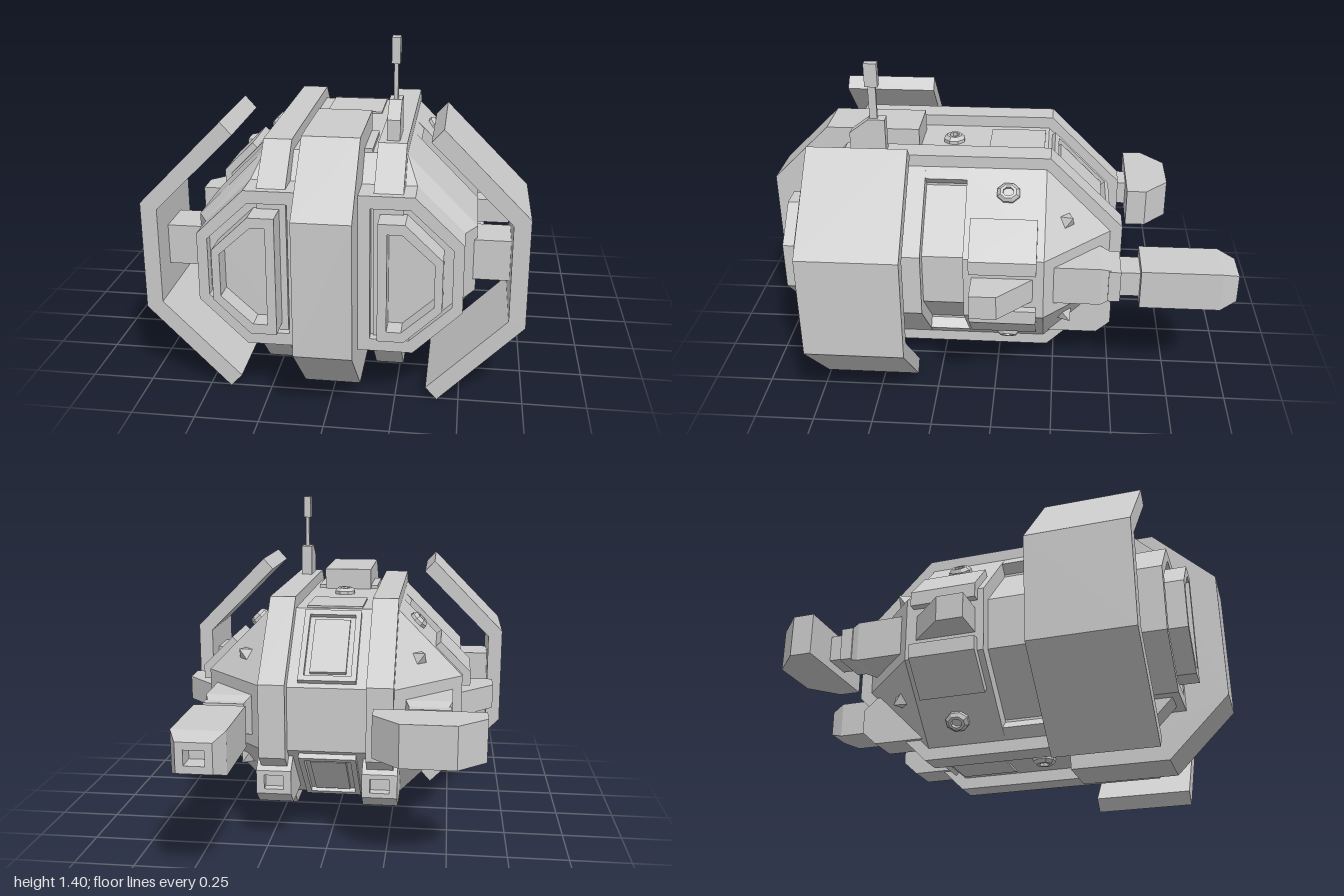
import * as THREE from 'three';

const C = 0.555; // height of the horizontal symmetry plane

export function createModel() {
  const group = new THREE.Group();
  const mat = new THREE.MeshStandardMaterial({ color: 0xcccccc, flatShading: true });

  // Mirror copy across x = 0 or y = C, with the winding turned back outward
  function mirrored(geo, axis) {
    const g = geo.clone(), p = g.attributes.position;
    for (let i = 0; i < p.count; i++) {
      if (axis === 'x') p.setX(i, -p.getX(i)); else p.setY(i, 2 * C - p.getY(i));
    }
    for (let i = 0; i < p.count; i += 3) {
      const b = new THREE.Vector3().fromBufferAttribute(p, i + 1);
      const c = new THREE.Vector3().fromBufferAttribute(p, i + 2);
      p.setXYZ(i + 1, c.x, c.y, c.z);
      p.setXYZ(i + 2, b.x, b.y, b.z);
    }
    return g;
  }
  function add(name, geo, axes = '') {
    let list = [geo.index ? geo.toNonIndexed() : geo];
    for (const a of axes) list = list.concat(list.map(g => mirrored(g, a)));
    for (const g of list) {
      g.computeVertexNormals();
      const m = new THREE.Mesh(g, mat);
      m.name = name;
      group.add(m);
    }
  }

  // Skin through cross-sections [z, points], listed from back to front, capped at both ends
  function loft(sections) {
    const v = [];
    const put = (s, i) => v.push(s[1][i][0], s[1][i][1], s[0]);
    const n = sections[0][1].length;
    for (let k = 0; k + 1 < sections.length; k++) {
      const a = sections[k], b = sections[k + 1];
      for (let i = 0; i < n; i++) {
        const j = (i + 1) % n;
        put(a, i); put(a, j); put(b, j);
        put(a, i); put(b, j); put(b, i);
      }
    }
    const first = sections[0], last = sections[sections.length - 1];
    for (let i = 1; i + 1 < n; i++) {
      put(first, 0); put(first, i + 1); put(first, i);
      put(last, 0); put(last, i); put(last, i + 1);
    }
    const g = new THREE.BufferGeometry();
    g.setAttribute('position', new THREE.Float32BufferAttribute(v, 3));
    return g;
  }
  const rect = (x0, x1, y0, y1) => [[x0, y0], [x1, y0], [x1, y1], [x0, y1]];
  const octagon = (w, xc, h, s) => [[xc, C - h], [w, C - s], [w, C + s], [xc, C + h],
    [-xc, C + h], [-w, C + s], [-w, C - s], [-xc, C - h]];
  const halfOctagon = (x0, x1, xc, h, s) => [[x0, C - h], [xc, C - h], [x1, C - s],
    [x1, C + s], [xc, C + h], [x0, C + h]];

  // Extruded outlines: front (x,y), side (z,y) and plan (x,z)
  function prism(pts, depth, hole) {
    const s = new THREE.Shape(pts.map(p => new THREE.Vector2(...p)));
    if (hole) s.holes.push(new THREE.Path(hole.map(p => new THREE.Vector2(...p))));
    return new THREE.ExtrudeGeometry(s, { depth, bevelEnabled: false }).translate(0, 0, -depth / 2);
  }
  const front = (pts, z0, z1) => prism(pts, z1 - z0).translate(0, 0, (z0 + z1) / 2);
  const side = (pts, x0, x1) => prism(pts, x1 - x0).rotateY(-Math.PI / 2).translate((x0 + x1) / 2, 0, 0);
  const plan = (pts, y0, y1) => prism(pts, y1 - y0).rotateX(Math.PI / 2).translate(0, (y0 + y1) / 2, 0);
  const box = (x0, x1, y0, y1, z0, z1) => new THREE.BoxGeometry(x1 - x0, y1 - y0, z1 - z0)
    .translate((x0 + x1) / 2, (y0 + y1) / 2, (z0 + z1) / 2);
  // Turn a part whose up is +y toward a direction, then place it
  const aim = (geo, dir, pos) => geo.applyQuaternion(new THREE.Quaternion().setFromUnitVectors(
    new THREE.Vector3(0, 1, 0), new THREE.Vector3(...dir).normalize())).translate(...pos);

  // Hull: tapered tail, waist with grooves, chamfered front
  const full = octagon(0.55, 0.275, 0.415, 0.135);
  add('rearHull', loft([[-0.48, octagon(0.275, 0.275, 0.135, 0.135)], [-0.205, full], [0.125, full]]));
  add('frontHull', loft([[0.3, full], [0.62, full], [0.7, octagon(0.505, 0.32, 0.315, 0.135)]]));
  const quarter = [[0.495, 0.11], [0.27, 0.335], [0.31, 0.375], [0.275, 0.415]];
  const flipped = [...quarter].reverse();
  add('hullGroove', front([
    ...quarter.map(([x, y]) => [x, C + y]), ...flipped.map(([x, y]) => [-x, C + y]),
    ...quarter.map(([x, y]) => [-x, C - y]), ...flipped.map(([x, y]) => [x, C - y])], 0.125, 0.3));

  // Rails that wrap the hull lengthwise
  add('hullRail', side([[0.8, 0.24], [0.8, 0.87], [0.65, 1.02], [-0.22, 1.02], [-0.53, 0.71],
    [-0.53, 0.4], [-0.22, 0.09], [0.65, 0.09]], 0.165, 0.275), 'x');

  // Central keel block and its collar
  add('keel', side([[0.35, 0.045], [0.75, 0.045], [1, 0.29], [1, 0.82], [0.75, 1.065], [0.35, 1.065]], -0.11, 0.11));
  add('keelCollar', box(-0.142, 0.142, 0.125, 0.985, 0.37, 0.62));

  // Engines: front plate, sunken ring, raised nozzle and its hollow
  const plate = halfOctagon(0.09, 0.505, 0.32, 0.315, 0.135);
  const ring = halfOctagon(0.155, 0.465, 0.305, 0.265, 0.115);
  const rim = halfOctagon(0.19, 0.43, 0.29, 0.235, 0.1);
  const hollow = halfOctagon(0.225, 0.4, 0.28, 0.195, 0.085);
  add('engine', loft([[0.66, plate], [0.83, plate], [0.83, ring], [0.79, ring], [0.79, rim],
    [0.9, rim], [0.9, hollow], [0.82, hollow]]), 'x');

  // Curved side shields on struts
  add('sideShield', front([[0.745, 0.335], [0.745, 0.775], [0.415, 1.11], [0.37, 1.06], [0.68, 0.75],
    [0.68, 0.36], [0.37, 0.05], [0.415, 0]], 0.35, 0.76), 'x');
  add('shieldStrut', box(0.53, 0.7, 0.475, 0.64, 0.47, 0.64), 'x');

  // Armour plates over the hull corners, with a fin between
  add('armourPlate', front([[0.53, 0.64], [0.585, 0.64], [0.585, 0.7], [0.455, 0.83], [0.42, 0.795], [0.53, 0.69]],
    -0.175, 0.1), 'xy');
  add('sideFin', plan([[0.53, 0.09], [0.69, 0.09], [0.69, -0.02], [0.545, -0.165], [0.53, -0.165]], 0.5, 0.605), 'x');

  // Eight-sided sensors on the corners, top and underside
  const sensor = () => new THREE.LatheGeometry([[0.048, -0.01], [0.048, 0.014], [0.034, 0.028], [0.022, 0.028],
    [0.022, 0.012], [0, 0.012]].map(p => new THREE.Vector2(...p)), 8).rotateY(Math.PI / 8);
  add('cornerSensor', aim(sensor().scale(0.9, 1, 1.05), [1, 1, 0], [0.35, 0.893, -0.05]), 'xy');
  add('deckSensor', sensor().translate(0, 0.97, 0.21), 'y');

  // Small pyramids on the tail facets
  const stud = new THREE.ConeGeometry(0.042, 0.05, 4).translate(0, 0.02, 0);
  add('tailStud', aim(stud, [1, 1, -1], [0.367, 0.783, -0.293]), 'xy');

  // Deck panel and framed window on the sloping tail
  add('deckPanel', box(-0.12, 0.12, 0.95, 0.978, -0.19, 0.05), 'y');
  const frame = prism(rect(-0.12, 0.12, -0.175, 0.175), 0.03, rect(-0.097, 0.097, -0.15, 0.15)).rotateX(-Math.PI / 2);
  add('windowFrame', aim(frame, [0, 1, -1], [0, 0.835, -0.347]), 'y');
  const pane = new THREE.BoxGeometry(0.15, 0.016, 0.26);
  add('windowPane', aim(pane, [0, 1, -1], [0, 0.835, -0.347]), 'y');

  // Arm mounts and stepped necks
  const mount = rect(0.32, 0.51, 0.47, 0.64);
  add('armMount', loft([[-0.48, rect(0.335, 0.495, 0.485, 0.625)], [-0.44, mount], [-0.18, mount]]), 'x');
  add('armNeck', box(0.335, 0.505, 0.485, 0.625, -0.52, -0.47), 'x');
  add('armWrist', box(0.35, 0.48, 0.5, 0.61, -0.62, -0.51), 'x');

  // Cannon with a hollow muzzle on one arm
  const barrel = rect(0.31, 0.52, 0.47, 0.64);
  const bore = rect(0.375, 0.455, 0.525, 0.585);
  add('armCannon', loft([[-0.92, bore], [-1, bore], [-1, rect(0.345, 0.485, 0.495, 0.615)],
    [-0.93, barrel], [-0.6, barrel]]));

  // Hammer head on the other arm
  add('armHammer', plan([[-0.645, -0.58], [-0.645, -0.67], [-0.53, -0.775], [-0.31, -0.775],
    [-0.2, -0.67], [-0.2, -0.58]], 0.465, 0.64));

  // Guns slung under the tail
  const gunBody = rect(0.147, 0.293, 0.18, 0.385);
  const gunBore = rect(0.18, 0.26, 0.255, 0.315);
  add('tailGun', loft([[-0.46, gunBore], [-0.5, gunBore], [-0.5, rect(0.147, 0.293, 0.235, 0.335)],
    [-0.44, gunBody], [-0.2, gunBody]]), 'x');

  // Antenna on one rail
  add('antennaBase', side([[0.47, 1], [0.62, 1], [0.62, 1.1], [0.54, 1.16], [0.47, 1.16]], 0.195, 0.245));
  add('antennaMast', box(0.212, 0.228, 1.15, 1.31, 0.503, 0.535));
  add('antennaTip', box(0.203, 0.236, 1.3, 1.4, 0.492, 0.546));

  return group;
}
